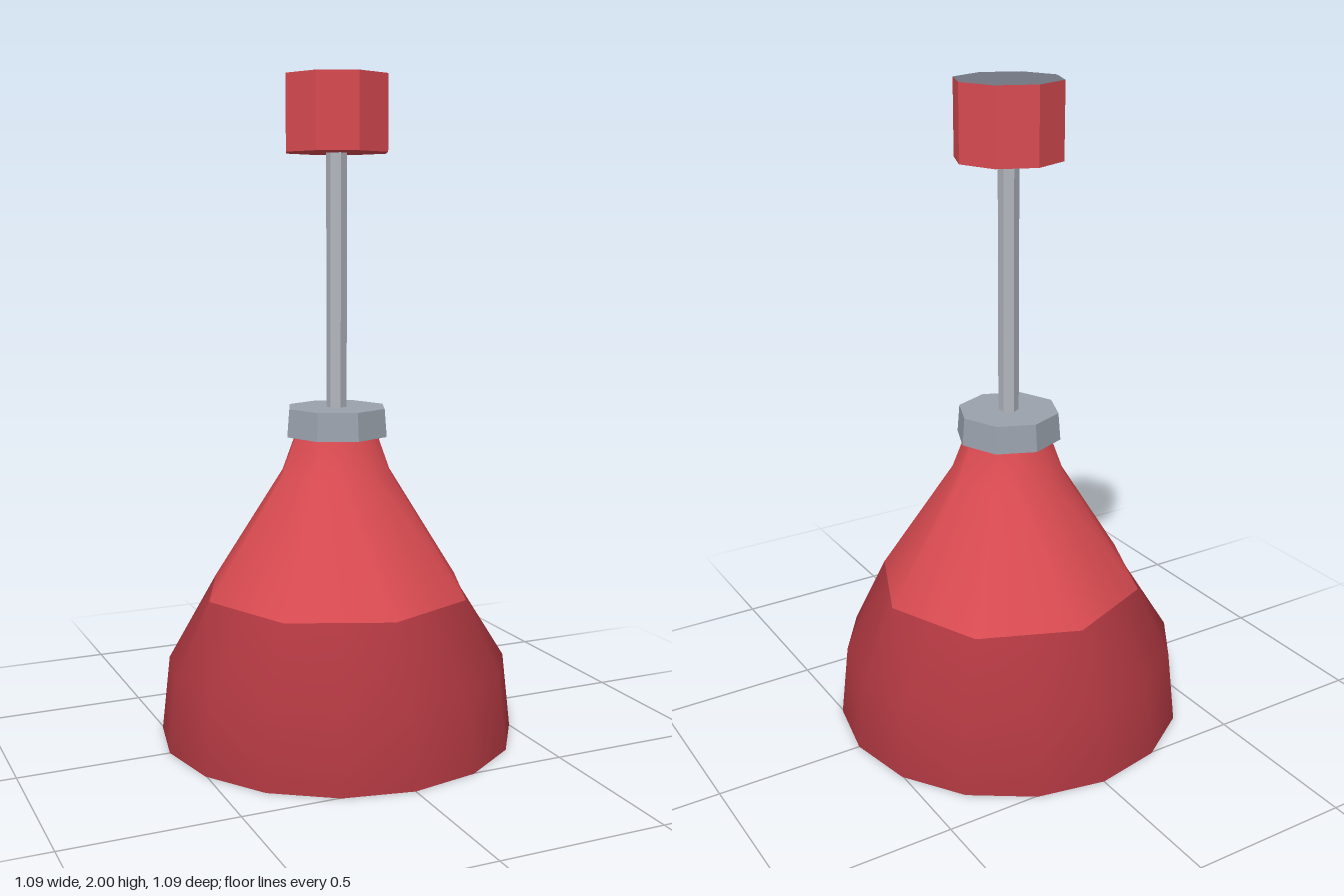
import * as THREE from 'three';
import { mergeVertices } from 'three/addons/utils/BufferGeometryUtils.js';

const mat = (name, color, extra = {}) => {
  const m = new THREE.MeshStandardMaterial({ color, ...extra });
  m.name = name;
  return m;
};

// Revolved shell: 16 sides below, straightening to 8 sides from the shoulder up
function shell(profile) {
  const geo = new THREE.LatheGeometry(profile.map(([r, y]) => new THREE.Vector2(r, y)), 16);
  const pos = geo.attributes.position, rows = profile.length;
  for (let i = 0; i < pos.count; i++) {
    const column = Math.floor(i / rows);
    if (column % 2 === 1 && pos.getY(i) > 0.4) {
      const k = Math.cos(Math.PI / 8);
      pos.setX(i, pos.getX(i) * k);
      pos.setZ(i, pos.getZ(i) * k);
    }
  }
  geo.deleteAttribute('uv');
  geo.deleteAttribute('normal');
  const merged = mergeVertices(geo, 1e-4);
  merged.computeVertexNormals();
  return merged;
}

export function createModel() {
  const group = new THREE.Group();
  const red = mat('bright red', 0xd94b51);
  const darkRed = mat('deep red', 0xae3740);
  const steel = mat('steel grey', 0x9aa2ad, { flatShading: true });
  const rodGrey = mat('light grey', 0xb2b6be, { flatShading: true });
  const plateGrey = mat('dark grey', 0x707681);
  const cream = mat('warm cream', 0xe0b698);

  const add = (name, geo, material, y = 0) => {
    const mesh = new THREE.Mesh(geo, material);
    mesh.name = name;
    mesh.position.y = y;
    group.add(mesh);
  };
  const prism = (top, bottom, height, sides) => {
    const flat = new THREE.CylinderGeometry(top, bottom, height, sides).toNonIndexed();
    flat.computeVertexNormals();
    return flat;
  };

  // Shade: lower skirt, upper cone, underside rim and lining
  add('shadeSkirt', shell([[0.545, 0], [0.52, 0.23], [0.415, 0.45]]), darkRed);
  add('shadeCone', shell([[0.415, 0.45], [0.18, 0.81], [0.13, 0.94]]), red);
  add('shadeRim', shell([[0.48, 0], [0.545, 0]]), darkRed);
  add('shadeLining', shell([[0, 0.9], [0.09, 0.9], [0.13, 0.8], [0.355, 0.44], [0.455, 0.23], [0.48, 0]]), cream);

  // Collar and hanging rod
  add('collar', prism(0.155, 0.162, 0.085, 8), steel, 0.9725);
  add('rod', prism(0.031, 0.031, 0.78, 6), rodGrey, 1.395);

  // Ceiling canopy with a grey mounting face on top (side, top, bottom)
  const canopy = new THREE.CylinderGeometry(0.162, 0.162, 0.225, 8).toNonIndexed();
  canopy.computeVertexNormals();
  add('canopy', canopy, [red, plateGrey, red], 1.8875);

  return group;
}
